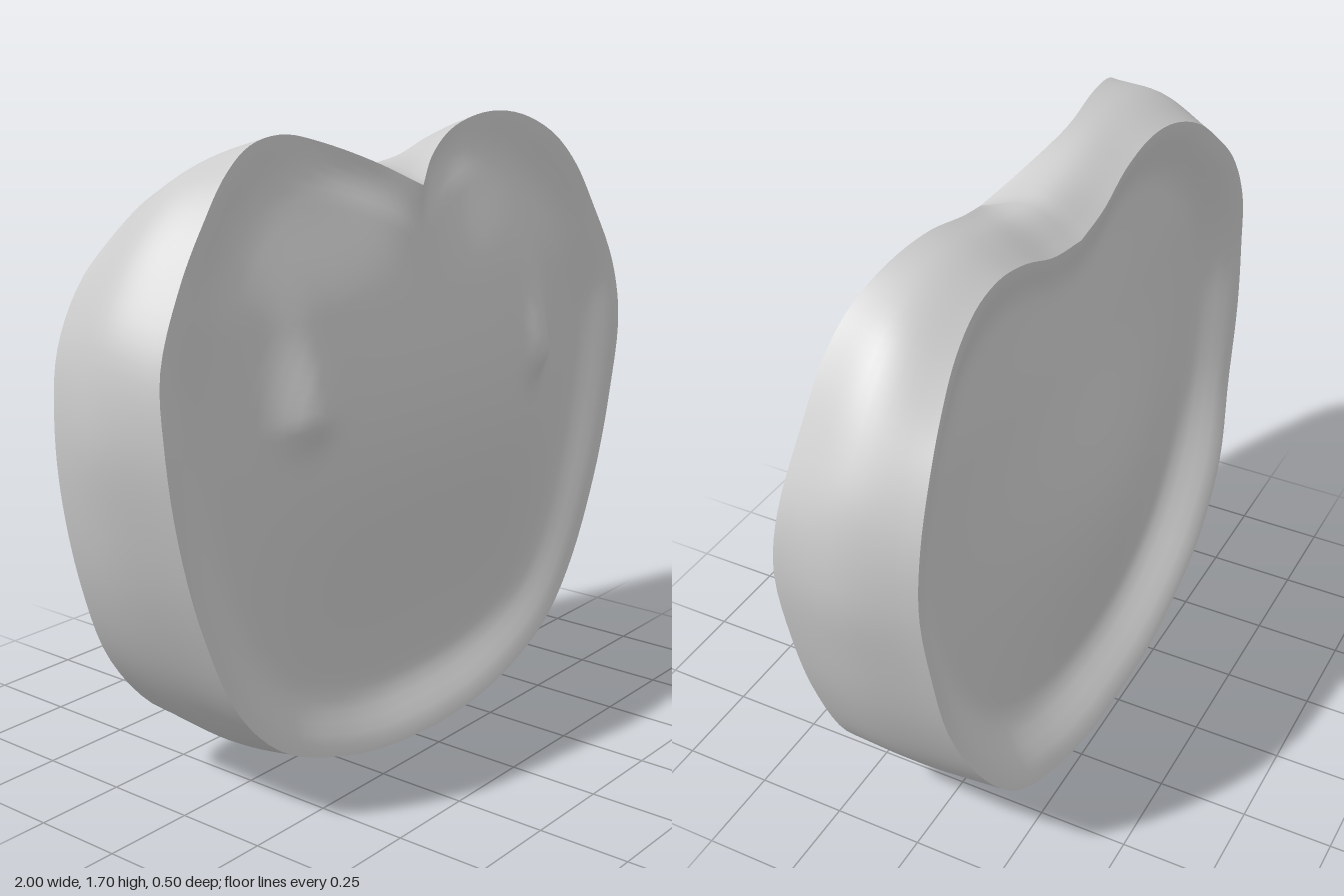
import * as THREE from 'three';

const HALF = 72; // samples per half outline
const CENTRE = new THREE.Vector2(0, 0.85);
const { smoothstep, lerp } = THREE.MathUtils;

// Half outlines from bottom centre, up the left side, to the notch: [x, y, z]
const FRONT_RIM = [
  [0, .05, .24], [.2, .06, .235], [.4, .1, .225], [.6, .18, .21], [.75, .33, .2], [.87, .58, .2],
  [.94, .82, .2], [.975, 1.05, .2], [.96, 1.22, .18], [.87, 1.4, .16], [.78, 1.53, .15],
  [.69, 1.62, .13], [.57, 1.68, .1], [.43, 1.695, .08], [.28, 1.665, .075], [.12, 1.605, .12], [0, 1.54, .18],
];
const BELLY = [
  [0, 0, 0], [.2, .01, 0], [.4, .06, 0], [.6, .16, 0], [.78, .36, 0], [.9, .6, 0],
  [.97, .85, 0], [1, 1.05, 0], [.975, 1.25, 0], [.9, 1.4, 0], [.8, 1.53, 0],
  [.7, 1.61, 0], [.57, 1.655, 0], [.43, 1.665, 0], [.28, 1.64, 0], [.13, 1.6, .01], [0, 1.585, .02],
];
const BACK_RIM = [
  [0, .03, -.25], [.2, .04, -.25], [.4, .085, -.245], [.6, .18, -.24], [.77, .37, -.23], [.88, .6, -.2],
  [.94, .85, -.19], [.96, 1.05, -.18], [.94, 1.22, -.18], [.87, 1.37, -.17], [.78, 1.47, -.15],
  [.68, 1.55, -.13], [.55, 1.6, -.11], [.42, 1.61, -.1], [.28, 1.58, -.095], [.14, 1.53, -.1], [0, 1.51, -.105],
];

// Smooth a half outline and mirror it into a closed ring
function ring(half) {
  const curve = new THREE.CatmullRomCurve3(half.map((p) => new THREE.Vector3(...p)));
  const left = [];
  for (let i = 0; i <= HALF; i++) left.push(curve.getPoint(i / HALF));
  const right = left.slice(1, -1).reverse().map((p) => new THREE.Vector3(-p.x, p.y, p.z));
  return [...left, ...right];
}

const bump = (d, width) => Math.exp(-((d / width) ** 2));

// Front relief: broad central swelling, two small knobs, a crease under the notch
function frontHeight(x, y) {
  const ax = Math.abs(x);
  const swelling = 0.115 * Math.exp(-((x / 0.62) ** 4)) * bump(y - 0.92, 0.5);
  const knobs = 0.045 * bump(ax - 0.5, 0.07) * bump(y - 1.03, y > 1.03 ? 0.17 : 0.07);
  const lobes = 0.08 * smoothstep(y, 1.25, 1.7) * (1 - bump(x, 0.16));
  return 0.135 + swelling + knobs - lobes;
}

// Back relief: shallow dish with a low swelling in the middle
function backHeight(x, y) {
  const swelling = 0.115 * bump(x, 0.5) * bump(y - 0.72, y > 0.72 ? 0.42 : 0.5);
  return -0.095 - swelling + 0.03 * smoothstep(y, 1.2, 1.6);
}

// Concentric rings from the centre out to a rim
function faceRings(rim, height, count = 32) {
  const rings = [];
  for (let k = 0; k <= count; k++) {
    const t = k / count;
    const blend = smoothstep(1 - t, 0, 0.2);
    rings.push(rim.map((p) => {
      const x = p.x * t;
      const y = lerp(CENTRE.y, p.y, t);
      return new THREE.Vector3(x, y, lerp(p.z, height(x, y), blend));
    }));
  }
  return rings;
}

// Rings running from the front rim over the belly to the back rim
function wallRings(front, belly, back, count = 12) {
  const curves = front.map((p, i) => new THREE.CatmullRomCurve3([p, belly[i], back[i]]));
  return Array.from({ length: count + 1 }, (_, k) => curves.map((c) => c.getPoint(k / count)));
}

function loft(name, rings, material) {
  const n = rings[0].length;
  const index = [];
  for (let k = 0; k < rings.length - 1; k++) {
    for (let i = 0; i < n; i++) {
      const j = (i + 1) % n;
      const a = k * n + i, b = k * n + j, c = a + n, d = b + n;
      index.push(a, c, d, a, d, b);
    }
  }
  const geometry = new THREE.BufferGeometry().setFromPoints(rings.flat());
  geometry.setIndex(index);
  geometry.computeVertexNormals();
  const mesh = new THREE.Mesh(geometry, material);
  mesh.name = name;
  return mesh;
}

export function createModel() {
  const group = new THREE.Group();
  group.name = 'lobedShell';
  const material = new THREE.MeshStandardMaterial({ color: 0xcccccc, side: THREE.DoubleSide });
  const front = ring(FRONT_RIM), belly = ring(BELLY), back = ring(BACK_RIM);

  group.add(
    loft('frontFace', faceRings(front, frontHeight), material),
    loft('sideWall', wallRings(front, belly, back), material),
    loft('backFace', faceRings(back, backHeight).reverse(), material),
  );
  return group;
}
